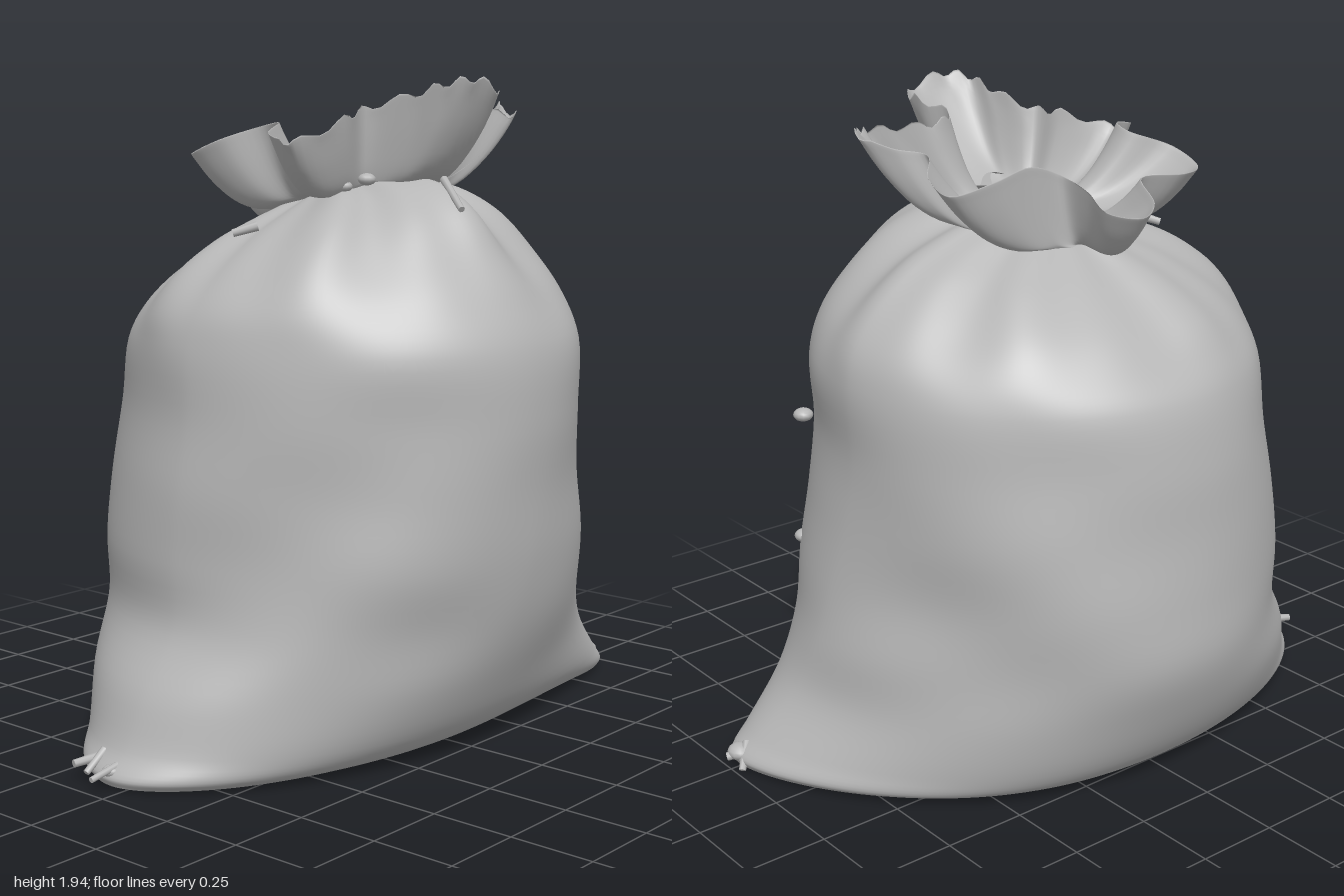
import * as THREE from 'three';

const COLS = 192;
const V = (x, y, z) => new THREE.Vector3(x, y, z);
const { sin, cos, abs, sign, pow, max, PI } = Math;

// Skin a closed surface: column(u) gives a few points, smoothed into `rows` steps
function loft(column, rows) {
  const pos = [], idx = [];
  for (let c = 0; c < COLS; c++) {
    const curve = new THREE.CatmullRomCurve3(column(c / COLS));
    for (let r = 0; r <= rows; r++) pos.push(...curve.getPoint(r / rows).toArray());
  }
  const n = rows + 1;
  for (let c = 0; c < COLS; c++) {
    const d = (c + 1) % COLS;
    for (let r = 0; r < rows; r++) {
      const a = c * n + r, b = d * n + r;
      idx.push(a, b, a + 1, b, b + 1, a + 1);
    }
  }
  const g = new THREE.BufferGeometry();
  g.setAttribute('position', new THREE.Float32BufferAttribute(pos, 3));
  g.setIndex(idx);
  g.computeVertexNormals();
  return g;
}

// Sack levels: y, left reach (-x), right reach (+x), back, front, tilt, pleat
const LEVELS = [
  [0.015, 0.93, 0.97, 0.48, 0.40, 0, 0],
  [0.04, 0.94, 0.98, 0.54, 0.46, 0, 0],
  [0.10, 0.89, 0.93, 0.60, 0.53, 0, 0],
  [0.25, 0.82, 0.83, 0.68, 0.61, 0, 0],
  [0.42, 0.73, 0.77, 0.73, 0.67, 0, 0],
  [0.60, 0.71, 0.74, 0.73, 0.71, 0, 0],
  [0.80, 0.69, 0.73, 0.71, 0.72, 0, 0],
  [1.00, 0.67, 0.71, 0.69, 0.73, 0, 0],
  [1.19, 0.66, 0.71, 0.65, 0.72, 0.01, 0],
  [1.30, 0.63, 0.68, 0.59, 0.65, 0.05, 0.012],
  [1.40, 0.55, 0.60, 0.51, 0.56, 0.09, 0.032],
  [1.50, 0.41, 0.47, 0.38, 0.46, 0.15, 0.06],
  [1.56, 0.28, 0.34, 0.28, 0.35, 0.22, 0.085],
  [1.60, 0.18, 0.23, 0.21, 0.22, 0.30, 0.10],
];

const angleAt = u => PI / 2 - 2 * PI * u;

function ringPoint([y, xl, xr, zb, zf, tilt, pleat], u) {
  const a = angleAt(u), c = cos(a), s = sin(a);
  const low = max(0, 1 - y / 0.9);
  const point = 1.14 - 0.06 * low;                    // pinched side seams
  const wave = 1 + pleat * (cos(7 * a + 0.6) + 0.5 * sin(13 * a));
  const mid = THREE.MathUtils.smoothstep(y, 0.1, 0.4) * (1 - THREE.MathUtils.smoothstep(y, 0.9, 1.25));
  const fold = 1 + 0.014 * mid * sin(y * 24 + 5 * c + 3 * s) * (0.35 + abs(c));
  const x = (c > 0 ? xr : xl) * c * wave * fold;
  let z = (s > 0 ? zf : zb) * sign(s) * pow(abs(s), point) * wave * fold;
  z += pow(low, 1.4) * pow(abs(c), 3) * (c > 0 ? 0.26 : -0.04); // corners swing off centre
  return V(x, y + tilt * z, z);
}

// Ruffled mouth outline, from the front lobe round by the +x side
const RIM = [
  [0, 1.94, 0.50], [0.14, 1.90, 0.47], [0.17, 1.90, 0.38], [0.15, 1.87, 0.25],
  [0.25, 1.86, 0.20], [0.35, 1.85, 0.27], [0.42, 1.84, 0.33], [0.46, 1.86, 0.24],
  [0.53, 1.87, 0.18], [0.46, 1.83, 0.10], [0.38, 1.81, 0.05], [0.45, 1.77, -0.05],
  [0.46, 1.74, -0.16], [0.35, 1.77, -0.21], [0.20, 1.79, -0.19], [0.09, 1.75, -0.19],
  [0.08, 1.72, -0.29], [0.09, 1.68, -0.38], [0, 1.66, -0.43], [-0.09, 1.68, -0.38],
  [-0.13, 1.73, -0.28], [-0.26, 1.73, -0.32], [-0.37, 1.73, -0.26], [-0.37, 1.77, -0.15],
  [-0.28, 1.81, -0.06], [-0.31, 1.82, 0.03], [-0.44, 1.79, 0.11], [-0.44, 1.77, 0.20],
  [-0.26, 1.83, 0.23], [-0.13, 1.86, 0.20], [-0.09, 1.90, 0.35], [-0.08, 1.93, 0.46],
];
const rimCurve = new THREE.CatmullRomCurve3(RIM.map(p => V(...p)), true);

// Mouth section: bowl-shaped outside, rounded lip, then down the inside to the knot
function collarColumn(u) {
  const a = angleAt(u);
  const neck = ringPoint(LEVELS.at(-1), u);
  const rim = rimCurve.getPoint(u);
  const heart = V(0.03, 1.58, 0.03);
  const throat = heart.clone().add(V(0.11 * cos(a), 0.03 + 0.03 * sin(a), 0.11 * sin(a)));
  const sag = 0.24 + 0.45 * max(0, rim.z);
  const slope = (from, t, drop) => {
    const p = from.clone().lerp(rim, t);
    p.y -= drop * t * (1 - t);
    return p;
  };
  const outer = [0, 0.25, 0.5, 0.75, 0.93].map(t => slope(neck, t, sag));
  const inner = [0.92, 0.75, 0.5, 0.25, 0].map(t => slope(throat, t, sag * 0.75));
  const lip = rim.clone();
  if (rim.z > 0.15) lip.y += 0.012 * sin(u * 2 * PI * 38);   // frayed front edge
  return [...outer, lip, ...inner, heart];
}

export function createModel() {
  const group = new THREE.Group();
  const cloth = new THREE.MeshStandardMaterial({ color: 0xb6b6b6 });
  cloth.name = 'grey cloth';
  const add = (name, geometry) => {
    const m = new THREE.Mesh(geometry, cloth);
    m.name = name;
    group.add(m);
    return m;
  };

  add('sackBody', loft(u => LEVELS.map(l => ringPoint(l, u)), 70));
  add('gatheredMouth', loft(collarColumn, 44));

  // Flat underside
  const middle = V(0, 0.012, 0);
  add('sackBase', loft(u => {
    const edge = ringPoint(LEVELS[0], u);
    return [middle, middle.clone().lerp(edge, 0.5), edge];
  }, 4));

  // Knots at the neck and corners, stitches on the side
  const knot = (name, x, y, z, r) => {
    const m = add(name, new THREE.SphereGeometry(r, 12, 8));
    m.position.set(x, y, z);
    m.scale.set(1.2, 0.8, 1.2);
  };
  knot('neckKnot', -0.15, 1.66, 0.22, 0.022);
  knot('neckKnot', -0.19, 1.64, 0.17, 0.02);
  knot('neckKnot', 0.13, 1.68, 0.24, 0.022);
  knot('sideStitch', 0.635, 1.02, 0.345, 0.025);
  knot('sideStitch', 0.64, 0.63, 0.36, 0.025);
  knot('cornerKnot', 0.96, 0.05, 0.26, 0.032);
  knot('cornerKnot', -0.92, 0.055, -0.05, 0.022);

  // Loose thread ends: start and end points
  const thread = (name, a, b, r) => {
    const from = V(...a), to = V(...b), dir = to.clone().sub(from);
    const m = add(name, new THREE.CylinderGeometry(r * 0.8, r, dir.length(), 8));
    m.position.copy(from).lerp(to, 0.5);
    m.quaternion.setFromUnitVectors(V(0, 1, 0), dir.normalize());
  };
  thread('cornerThread', [-0.90, 0.07, -0.04], [-1.0, 0.05, -0.045], 0.011);
  thread('cornerThread', [-0.86, 0.07, -0.13], [-0.96, 0.06, -0.16], 0.014);
  thread('cornerThread', [-0.88, 0.09, -0.12], [-0.95, 0.04, -0.12], 0.012);
  thread('cornerThread', [0.93, 0.06, 0.23], [1.0, 0.04, 0.27], 0.016);
  thread('cornerThread', [0.94, 0.08, 0.25], [0.985, 0.015, 0.21], 0.014);
  thread('cornerThread', [0.86, 0.03, 0.29], [0.92, 0.02, 0.32], 0.014);
  thread('neckThread', [0.0, 1.66, 0.38], [-0.06, 1.58, 0.49], 0.012);
  thread('neckThread', [-0.38, 1.53, 0.01], [-0.43, 1.51, -0.04], 0.014);

  return group;
}
